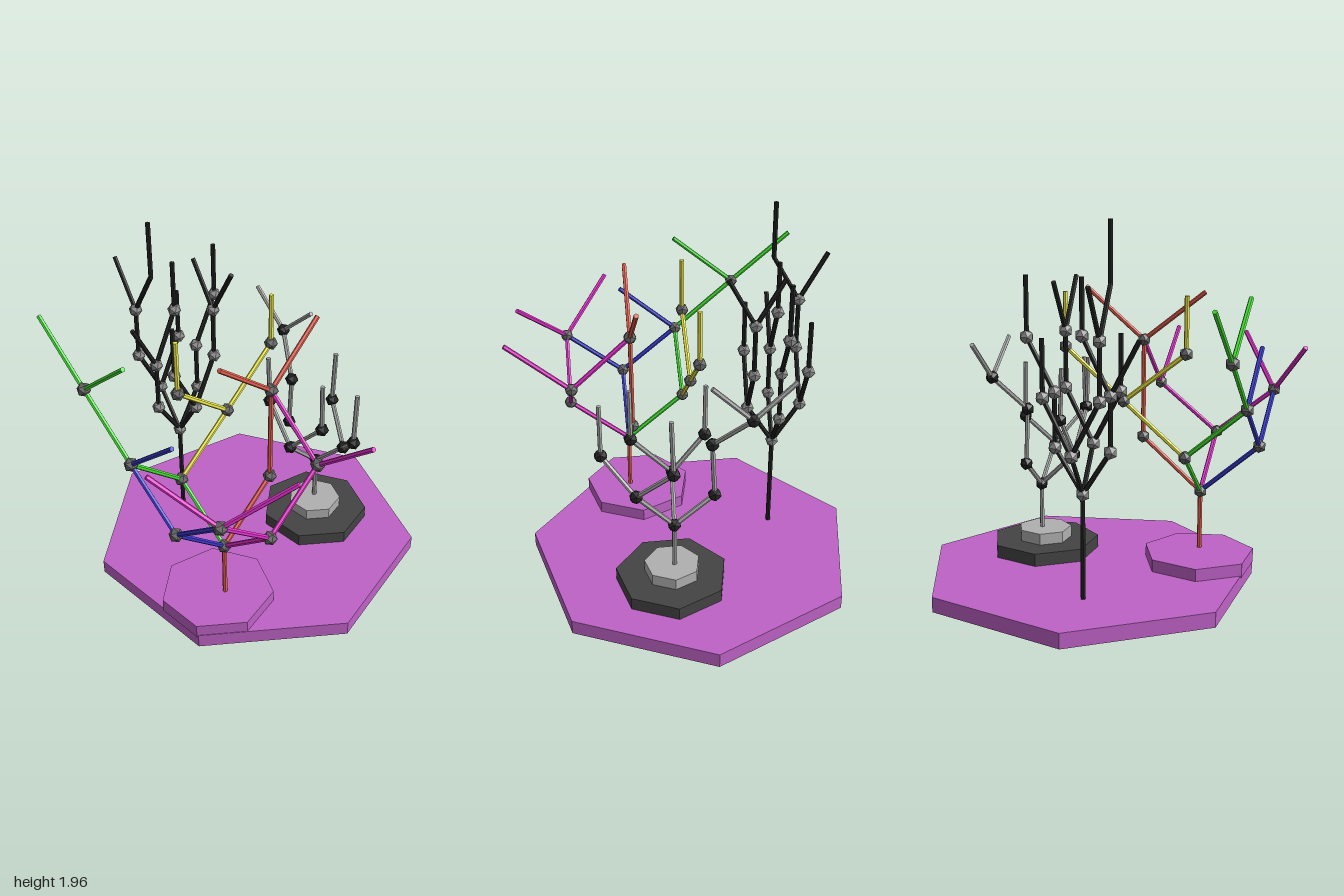
import * as THREE from 'three';

const mat = (color) => new THREE.MeshStandardMaterial({ color, flatShading: true });
const M = {
  base: mat(0xbe62c6), dark: mat(0x444444), pale: mat(0xb0b0b0), black: mat(0x222222),
  grey: mat(0xaaaaaa), node: mat(0x888888), coal: mat(0x222222), dim: mat(0x666666),
  green: mat(0x44e032), blue: mat(0x3a3ad0), yellow: mat(0xf2ee48), red: mat(0xe86050), pink: mat(0xe830d0),
};
const UP = new THREE.Vector3(0, 1, 0);

// seven-sided slab with one corner pointing to the back
function slab(name, x, z, r, y0, y1, material) {
  const m = new THREE.Mesh(new THREE.CylinderGeometry(r, r, y1 - y0, 7), material);
  m.name = name;
  m.rotation.y = Math.PI;
  m.position.set(x, (y0 + y1) / 2, z);
  return m;
}

function rod(a, b, material) {
  const p = new THREE.Vector3(...a), q = new THREE.Vector3(...b);
  const d = q.clone().sub(p);
  const m = new THREE.Mesh(new THREE.CylinderGeometry(0.013, 0.013, d.length(), 6), material);
  m.name = 'branch';
  m.position.copy(p).add(q).multiplyScalar(0.5);
  m.quaternion.setFromUnitVectors(UP, d.normalize());
  return m;
}

// A tree: named joints, plus paths of joint names or loose end points
function tree(name, joints, paths, nodeMaterial) {
  const g = new THREE.Group();
  g.name = name;
  const at = (p) => (typeof p === 'string' ? joints[p] : p);
  for (const [material, ...pts] of paths)
    for (let i = 1; i < pts.length; i++) g.add(rod(at(pts[i - 1]), at(pts[i]), material));
  for (const p of Object.values(joints)) {
    const m = new THREE.Mesh(new THREE.IcosahedronGeometry(0.038, 0), nodeMaterial);
    m.name = 'joint';
    m.position.set(...p);
    g.add(m);
  }
  return g;
}

// tall tree with branches spreading in a cross
function tallTree() {
  const X = -0.507, Z = 0.063, s = 0.145;
  const P = (i, y, k) => [X + i * s, y, Z + k * s];
  const j = { root: P(0, 0.625, 0) }, paths = [[M.black, P(0, 0.08, 0), 'root']];
  for (const i of [-1, 1]) {
    // side arms, each forking to front and back
    j['side' + i] = P(i, 0.85, 0);
    paths.push([M.black, 'root', 'side' + i]);
    for (const k of [-1, 1]) {
      const c = 'corner' + i + k;
      j[c] = P(i, 1.125, k);
      paths.push([M.black, 'side' + i, c, P(i, 1.41, k)]);
    }
    // one corner per side carries a further fork
    const top = 'top' + i;
    j[top] = P(i, 1.41, -i);
    paths.push([M.black, P(2 * i, 1.67, -i), top, P(0, 1.66, -i)]);
    // front and back arms
    j['arm' + i] = P(0, 0.85, i);
    j['upper' + i] = P(0, 1.125, i);
    paths.push([M.black, 'root', 'arm' + i, 'upper' + i]);
  }
  j.back = P(0, 1.39, -2);
  j.middle = P(0, 1.41, 0);
  paths.push(
    [M.black, 'upper-1', 'back', P(0, 1.69, -2)],
    [M.black, 'upper1', 'middle', P(0, 1.69, 0)],
    [M.black, 'upper1', P(0, 1.4, 2)],
    [M.black, P(0, 1.66, 1), P(0, 1.96, 1)],
  );
  return tree('tallTree', j, paths, M.node);
}

// small tree on the stepped plinth
function smallTree() {
  const j = {
    root: [0.105, 0.465, -0.43], left: [0.3, 0.66, -0.43], right: [-0.105, 0.635, -0.425], front: [0.09, 0.66, -0.225],
    rightUp: [-0.09, 0.935, -0.42], rightTop: [-0.27, 1.13, -0.537],
    leftBack: [0.12, 0.845, -0.53], leftOut: [0.465, 0.845, -0.307],
    frontRight: [-0.08, 0.885, -0.235], frontLeft: [0.305, 0.885, -0.235],
  };
  const g = M.grey;
  return tree('smallTree', j, [
    [g, [0.105, 0.2, -0.43], 'root', 'right', 'rightUp', 'rightTop', [-0.48, 1.33, -0.54]],
    [g, 'rightTop', [-0.065, 1.32, -0.535]],
    [g, 'root', 'left', 'leftBack', [0.13, 1.15, -0.53]],
    [g, 'left', 'leftOut', [0.465, 1.14, -0.315]],
    [g, 'root', 'front', 'frontRight', [-0.085, 1.165, -0.225]],
    [g, 'front', 'frontLeft', [0.305, 1.165, -0.225]],
  ], M.coal);
}

// coloured tree on the front slab
function colouredTree() {
  const j = {
    root: [0.26, 0.47, 0.45], left: [0.587, 0.735, 0.45], right: [-0.057, 0.735, 0.45],
    front: [0.26, 0.75, 0.77], back: [0.262, 0.75, 0.118],
    frontRight: [-0.055, 1.01, 0.77], frontLeft: [0.582, 1.0, 0.775],
    greenTop: [-0.387, 1.295, 0.77], backRight: [-0.055, 1.01, 0.115], backLeft: [0.585, 1.0, 0.117],
    yellowFront: [-0.055, 1.275, 0.45], yellowBack: [-0.055, 1.28, -0.21], redTop: [0.265, 1.29, 0.118],
  };
  return tree('colouredTree', j, [
    [M.red, [0.26, 0.13, 0.45], 'root', 'back', 'redTop', [0.258, 1.56, 0.46]],
    [M.red, 'redTop', [0.258, 1.57, -0.215]],
    [M.green, 'root', 'right', 'frontRight', 'greenTop', [-0.715, 1.575, 0.765]],
    [M.green, 'greenTop', [-0.05, 1.57, 0.775]],
    [M.yellow, 'right', 'backRight', 'yellowFront', [-0.055, 1.57, 0.45]],
    [M.yellow, 'backRight', 'yellowBack', [-0.055, 1.57, -0.21]],
    [M.blue, 'root', 'front', 'frontRight', [0.265, 1.28, 0.77]],
    [M.blue, 'front', 'frontLeft'],
    [M.pink, 'root', 'left', 'frontLeft', [0.335, 1.28, 0.985]],
    [M.pink, 'frontLeft', [0.85, 1.28, 0.548]],
    [M.pink, 'left', 'backLeft', 'redTop'],
    [M.pink, 'backLeft', [0.92, 1.28, 0.122]],
  ], M.dim);
}

export function createModel() {
  const model = new THREE.Group();
  model.name = 'treeSculpture';
  model.add(
    slab('base', -0.045, -0.09, 0.91, 0, 0.08, M.base),
    slab('frontSlab', 0.21, 0.46, 0.305, 0.07, 0.147, M.base),
    slab('plinthLower', 0.117, -0.418, 0.302, 0.07, 0.15, M.dark),
    slab('plinthUpper', 0.115, -0.418, 0.15, 0.14, 0.213, M.pale),
    tallTree(), smallTree(), colouredTree(),
  );
  return model;
}
